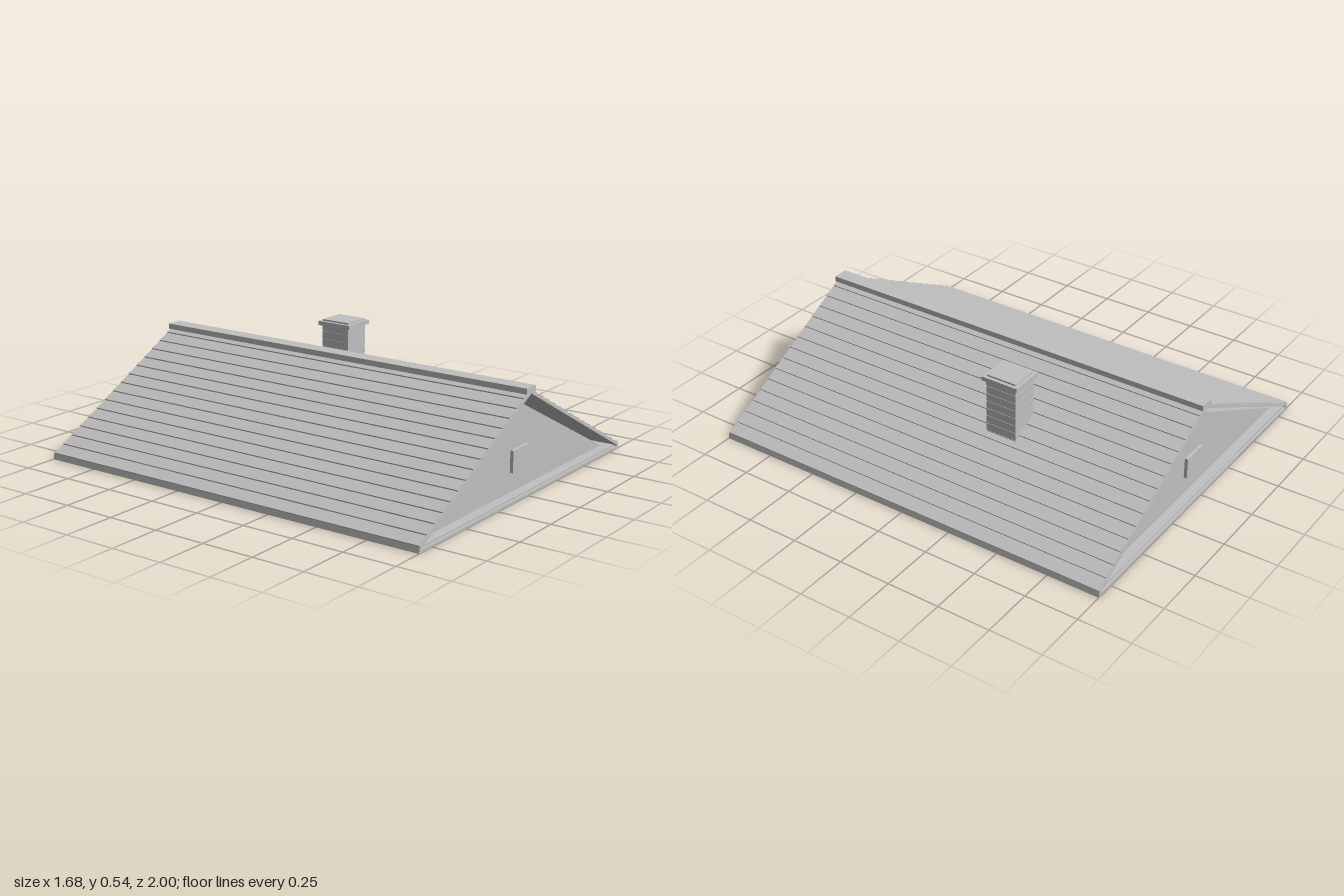
import * as THREE from 'three';

export function createModel() {
  const roof = new THREE.Group();
  roof.name = 'gableRoof';
  const grey = new THREE.MeshStandardMaterial({ color: 0xc0c0c0 });
  grey.name = 'plain grey';

  const add = (name, geometry, parent = roof) => {
    const mesh = new THREE.Mesh(geometry, grey);
    mesh.name = name;
    parent.add(mesh);
    return mesh;
  };
  const box = (name, w, h, d, x, y, z, parent) =>
    add(name, new THREE.BoxGeometry(w, h, d), parent).position.set(x, y, z);
  // Extrude an x/y outline along z, centred on z = 0
  const prism = (name, points, depth) => {
    const shape = new THREE.Shape(points.map(([x, y]) => new THREE.Vector2(x, y)));
    const geometry = new THREE.ExtrudeGeometry(shape, { depth, bevelEnabled: false });
    add(name, geometry.translate(0, 0, -depth / 2));
  };

  // Ceiling slab and the set-back gable body
  box('base', 1.66, 0.012, 2, 0, 0.006, 0);
  box('baseUpper', 1.62, 0.01, 1.98, 0, 0.015, 0);
  prism('gableBody', [[-0.77, 0.018], [0.77, 0.018], [0, 0.408]], 1.89);

  // Both slopes: deck, stepped shingle courses and eave board
  const courses = 15;
  const deckTop = (x) => 0.468 - 0.53 * x;
  for (const s of [1, -1]) {
    const side = s > 0 ? 'left' : 'right';
    prism(side + 'Deck', [[0, 0.454], [s * 0.83, 0.014], [s * 0.83, deckTop(0.83)], [0, deckTop(0)]], 2);
    const outline = [[0, deckTop(0) - 0.003]];
    for (let i = 0; i < courses; i++) {
      const x0 = (0.837 * i) / courses;
      const x1 = (0.837 * (i + 1)) / courses;
      outline.push([s * x0, deckTop(x0) + 0.002], [s * (x1 + 0.002), deckTop(x1) + 0.008]);
    }
    outline.push([s * 0.835, deckTop(0.835) - 0.003]);
    prism(side + 'Shingles', outline, 1.99);
    prism(side + 'Eave', [[s * 0.822, 0], [s * 0.842, 0], [s * 0.836, 0.03], [s * 0.822, 0.03]], 2);
  }
  box('ridgeCap', 0.075, 0.026, 2, 0, 0.47, 0);

  // Small raised vent on each gable
  for (const s of [1, -1]) box(s > 0 ? 'frontVent' : 'backVent', 0.13, 0.1, 0.02, 0, 0.16, s * 0.95);

  // Chimney with brick courses and a capping slab
  const chimney = new THREE.Group();
  chimney.name = 'chimney';
  chimney.position.set(0.353, 0, -0.232);
  roof.add(chimney);
  box('stack', 0.133, 0.34, 0.148, 0, 0.37, 0, chimney);
  for (let i = 0; i < 8; i++) box('brickCourse', 0.137, 0.034, 0.152, 0, 0.237 + i * 0.038, 0, chimney);
  box('chimneyCap', 0.165, 0.02, 0.18, 0, 0.522, 0, chimney);

  return roof;
}
